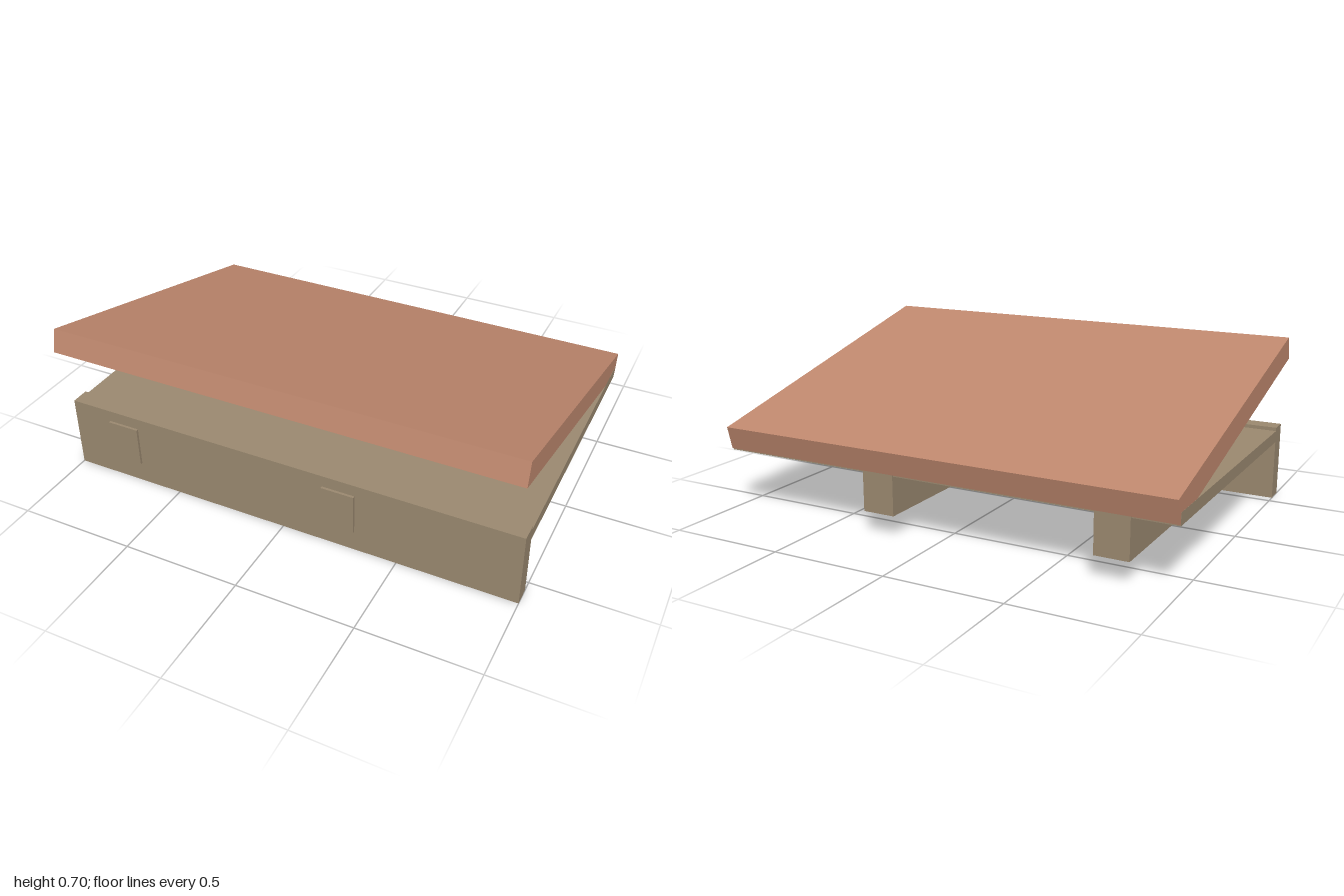
import * as THREE from 'three';

export function createModel() {
  const model = new THREE.Group();
  const timber = new THREE.MeshStandardMaterial({ color: 0x9b8970 });
  timber.name = 'weathered timber';
  const clay = new THREE.MeshStandardMaterial({ color: 0xbf886e });
  clay.name = 'clay red';

  // Box given by its extents on each axis
  function addBox(name, material, [x0, x1], [y0, y1], [z0, z1]) {
    const mesh = new THREE.Mesh(new THREE.BoxGeometry(x1 - x0, y1 - y0, z1 - z0), material);
    mesh.position.set((x0 + x1) / 2, (y0 + y1) / 2, (z0 + z1) / 2);
    mesh.name = name;
    model.add(mesh);
    return mesh;
  }

  // Flat deck and the upright board along its front edge
  addBox('deck', timber, [-1, 1], [0.255, 0.305], [-0.66, 0.55]);
  addBox('frontBoard', timber, [-1, 1], [0, 0.32], [0.545, 0.622]);

  // Joists run under the deck and poke through the front board
  for (const [side, x] of [['right', -0.75], ['left', 0.25]]) {
    addBox(side + 'Joist', timber, [x - 0.07, x + 0.07], [0.093, 0.27], [-0.667, 0.633]);
  }

  // Sloping slab, raised at the front and resting on the back of the deck
  const slab = addBox('slopingSlab', clay, [-0.9995, 0.9995], [0.43, 0.53], [-0.7, 0.7]);
  slab.rotation.x = THREE.MathUtils.degToRad(-14);

  return model;
}
